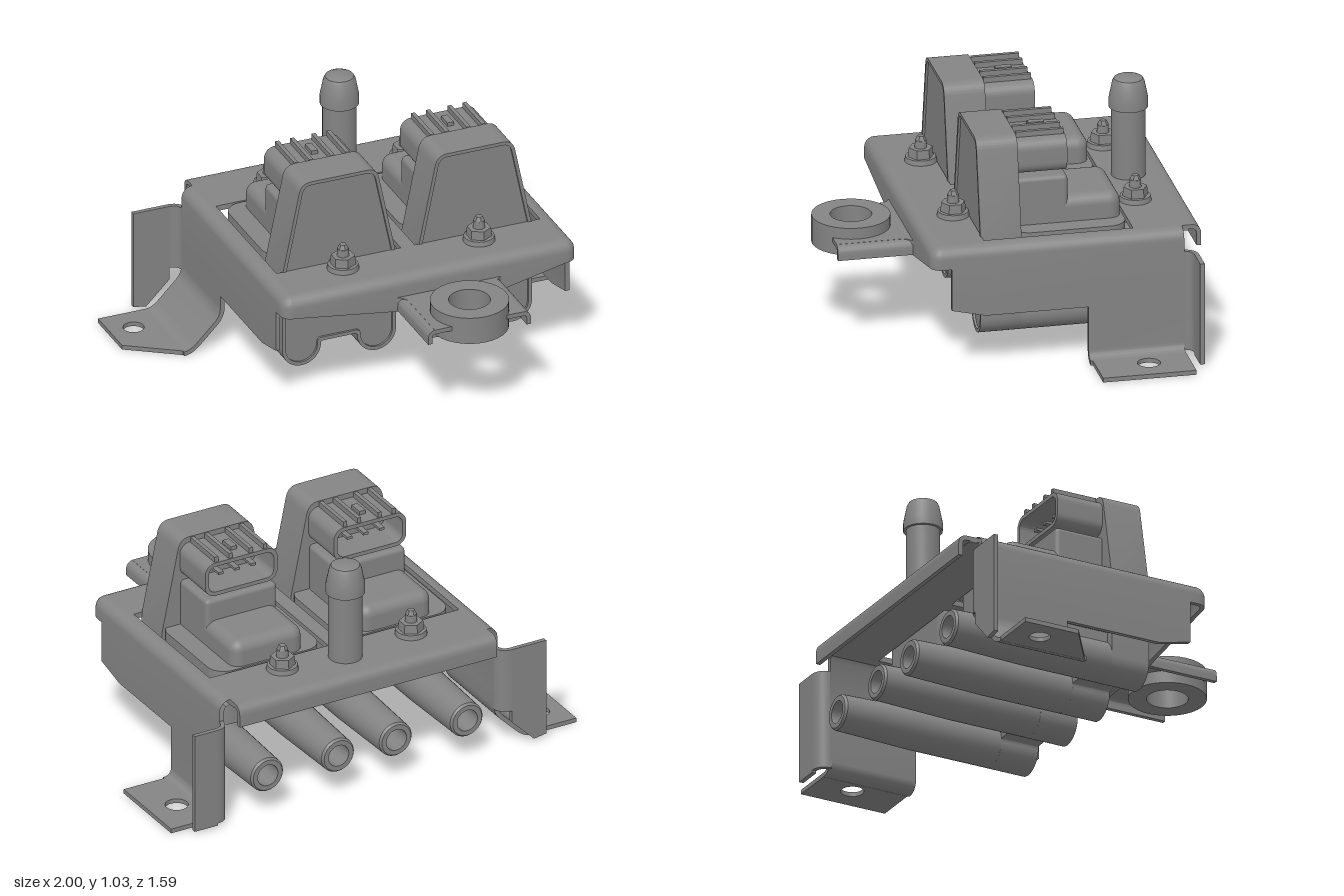
import * as THREE from 'three';
import { toCreasedNormals } from 'three/addons/utils/BufferGeometryUtils.js';
import { RoundedBoxGeometry } from 'three/addons/geometries/RoundedBoxGeometry.js';

const metal = new THREE.MeshStandardMaterial({ color: 0x848484, side: THREE.DoubleSide });

function add(parent, name, geo, x = 0, y = 0, z = 0) {
  const m = new THREE.Mesh(geo, metal);
  m.name = name;
  m.position.set(x, y, z);
  parent.add(m);
  return m;
}
const crease = (g) => toCreasedNormals(g, 0.6);
const extrude = (shape, depth) =>
  crease(new THREE.ExtrudeGeometry(shape, { depth, bevelEnabled: false, curveSegments: 16 }));
const poly = (pts) => new THREE.Shape(pts.map(([x, y]) => new THREE.Vector2(x, y)));
const circle = (x, y, r) => new THREE.Path().absarc(x, y, r, 0, Math.PI * 2, true);
// horizontal sheet: shape drawn as (x, -z), rising from the mesh's own y
const flat = (shape, t) => extrude(shape, t).rotateX(-Math.PI / 2);
const rect = (x0, x1, y0, y1) => poly([[x0, y0], [x1, y0], [x1, y1], [x0, y1]]);

// bent sheet metal: a path thickened to its left
function sheet(path, t, depth) {
  const p = path.getPoints(10);
  const off = p.map((a, i) => {
    const d = p[Math.min(i + 1, p.length - 1)].clone().sub(p[Math.max(i - 1, 0)]).normalize();
    return new THREE.Vector2(a.x - d.y * t, a.y + d.x * t);
  });
  return extrude(new THREE.Shape([...p, ...off.reverse()]), depth);
}

function roundRect(w, h, r, S = THREE.Shape) {
  const s = new S();
  s.absarc(w - r, h - r, r, 0, Math.PI / 2);
  s.absarc(r - w, h - r, r, Math.PI / 2, Math.PI);
  s.absarc(r - w, r - h, r, Math.PI, Math.PI * 1.5);
  s.absarc(w - r, r - h, r, Math.PI * 1.5, Math.PI * 2);
  s.closePath();
  return s;
}

// rolled edge and hanging flange round the two sides and the front of the plate
function skirt() {
  const x0 = -0.61, x1 = 0.76, r = 0.05, zf = 0.4;
  const line = []; // x, z, outward nx, nz, bottom height
  const side = [[-0.71, 0.255], [0.16, 0.255], [0.31, 0.29], [0.31, 0.48], [zf - r, 0.48]];
  side.forEach(([z, b]) => line.push([x0, z, -1, 0, b]));
  const corner = (cx, a0) => {
    for (let i = 1; i < 8; i++) {
      const a = a0 - (i / 8) * Math.PI / 2, c = Math.cos(a), s = Math.sin(a);
      line.push([cx + c * r, zf - r + s * r, c, s, 0.48]);
    }
  };
  corner(x0 + r, Math.PI);
  [[x0 + r, 0.48], [-0.08, 0.412], [0.4, 0.412], [x1 - r, 0.48]].forEach(([x, b]) => line.push([x, zf, 0, 1, b]));
  corner(x1 - r, Math.PI / 2);
  side.reverse().forEach(([z, b]) => line.push([x1, z, 1, 0, b]));
  const rows = [];
  for (let i = 0; i <= 6; i++) {
    const a = (i / 6) * Math.PI / 2;
    rows.push([r - r * Math.sin(a), 0.525 + r * Math.cos(a)]);
  }
  rows.push([0, null], [0.02, null], [0.02, 0.525], [0.03, 0.545], [0.05, 0.55]);
  const pos = [], idx = [], n = rows.length;
  line.forEach(([x, z, nx, nz, b], i) => rows.forEach(([inset, y], j) => {
    pos.push(x - nx * inset, y === null ? b : y, z - nz * inset);
    if (i && j) {
      const a = (i - 1) * n + j - 1, c = i * n + j - 1;
      idx.push(a, a + 1, c, c, a + 1, c + 1);
    }
  }));
  const g = new THREE.BufferGeometry();
  g.setAttribute('position', new THREE.Float32BufferAttribute(pos, 3));
  g.setIndex(idx);
  return crease(g);
}

// front outline of a coil: tapered top, two round lobes below; d insets it
function coilOutline(d, S = THREE.Shape) {
  const w = 0.265 - d, r = 0.09 - d, t = 0.99 - d, s = new S();
  s.moveTo(-w, 0.195);
  s.absarc(-0.175, 0.195, r, Math.PI, Math.PI * 2, false);
  s.quadraticCurveTo(-0.175 + r, 0.205 + d, -0.155 + r, 0.205 + d);
  s.lineTo(0.155 - r, 0.205 + d);
  s.quadraticCurveTo(0.175 - r, 0.205 + d, 0.175 - r, 0.195);
  s.absarc(0.175, 0.195, r, Math.PI, Math.PI * 2, false);
  s.lineTo(w, 0.56);
  s.lineTo(0.187 - d, 0.94);
  s.quadraticCurveTo(0.177 - d, t, 0.13, t);
  s.lineTo(-0.13, t);
  s.quadraticCurveTo(d - 0.177, t, d - 0.187, 0.94);
  s.lineTo(-w, 0.56);
  s.closePath();
  return s;
}

function coil(x) {
  const g = new THREE.Group();
  g.name = 'coil';
  g.position.x = x;
  add(g, 'coilFront', extrude(coilOutline(0), 0.17), 0, 0, -0.02);
  const rim = coilOutline(0);
  rim.holes.push(coilOutline(0.016, THREE.Path));
  add(g, 'coilRim', extrude(rim, 0.01), 0, 0, 0.15);
  add(g, 'coilBody', flat(roundRect(0.265, 0.25, 0.08), 0.26), 0, 0.315, -0.24);
  add(g, 'coilBlock', new RoundedBoxGeometry(0.35, 0.29, 0.24, 3, 0.02), 0, 0.645, -0.125);
  add(g, 'coilStep', new RoundedBoxGeometry(0.35, 0.2, 0.4, 4, 0.05), 0, 0.59, -0.28);

  // open connector with ribs and pins
  const shell = roundRect(0.178, 0.08, 0.05);
  shell.holes.push(roundRect(0.16, 0.062, 0.035, THREE.Path));
  add(g, 'connectorShell', extrude(shell, 0.22), 0, 0.885, -0.24);
  add(g, 'connectorFloor', extrude(roundRect(0.17, 0.07, 0.04), 0.06), 0, 0.885, -0.08);
  for (const rx of [-0.12, -0.05, 0.05, 0.12])
    add(g, 'connectorRib', new THREE.BoxGeometry(0.018, 0.035, 0.21), rx, 0.972, -0.13);
  add(g, 'connectorLatch', new THREE.BoxGeometry(0.03, 0.02, 0.07), 0, 0.972, -0.14);
  for (const px of [-0.08, 0, 0.08])
    add(g, 'connectorPin', new THREE.BoxGeometry(0.025, 0.012, 0.13), px, 0.885, -0.14);

  // hollow output towers running to the back
  const tower = [[0.05, -0.55], [0.05, -0.775], [0.072, -0.775], [0.08, -0.765], [0.09, -0.4], [0.09, 0]];
  for (const tx of [-0.175, 0.175]) {
    const geo = new THREE.LatheGeometry(tower.map(([r, z]) => new THREE.Vector2(r, z)), 28);
    add(g, 'outputTower', crease(geo.rotateX(Math.PI / 2)), tx, 0.195, 0);
    add(g, 'towerFloor', new THREE.CircleGeometry(0.05, 24).rotateY(Math.PI), tx, 0.195, -0.55);
    add(g, 'towerWeb', new THREE.BoxGeometry(0.1, 0.14, 0.36), tx, 0.29, -0.19);
  }
  return g;
}

function bolt(x, z) {
  const g = new THREE.Group();
  g.name = 'bolt';
  g.position.set(x, 0, z);
  const cyl = (name, r0, r1, y0, y1, n) =>
    add(g, name, crease(new THREE.CylinderGeometry(r1, r0, y1 - y0, n)), 0, (y0 + y1) / 2, 0);
  cyl('washer', 0.07, 0.066, 0.575, 0.597, 28);
  cyl('nut', 0.056, 0.052, 0.597, 0.637, 6);
  cyl('stud', 0.027, 0.025, 0.63, 0.67, 16);
  cyl('studTip', 0.025, 0.016, 0.67, 0.69, 6);
  if (z > 0) cyl('boltEnd', 0.04, 0.045, 0.38, 0.56, 20);
  return g;
}

function leg(s) {
  const g = new THREE.Group();
  const left = s > 0;
  g.name = left ? 'leftLeg' : 'rightLeg';
  const wall = left ? 0.76 : -0.61;
  const p = new THREE.Path().moveTo(wall, 0.3);
  if (left) p.lineTo(wall, 0.06).quadraticCurveTo(wall, 0.02, 0.8, 0.02);
  else p.lineTo(wall, 0.2).quadraticCurveTo(wall, 0.16, -0.637, 0.133).lineTo(-0.72, 0.05).quadraticCurveTo(-0.75, 0.02, -0.78, 0.02);
  add(g, 'legStrip', sheet(p, left ? -0.02 : 0.02, 0.42), 0, 0, -0.71);
  const foot = left ? rect(0.8, 1, 0.3, 0.71)
    : poly([[-0.78, 0.3], [-0.78, 0.71], [-1, 0.71], [-1, 0.45]]);
  foot.holes.push(left ? circle(0.87, 0.53, 0.05) : circle(-0.89, 0.58, 0.046));
  add(g, 'foot', flat(foot, 0.02));
  // stiffening wing turned outwards at the back
  const end = left ? 0.915 : -0.82;
  const bend = new THREE.Path().moveTo(wall, 0.7).quadraticCurveTo(wall, 0.745, wall + s * 0.045, 0.745);
  const h = left ? 0.455 : 0.3;
  add(g, 'wingBend', flat2(bend, s, h), 0, 0.475 - h, 0);
  const wing = left ? rect(0.8, end, 0.01, 0.475)
    : poly([[-0.65, 0.475], [end, 0.475], [end, 0.02], [-0.76, 0.01], [-0.65, 0.12]]);
  add(g, 'wing', extrude(wing, 0.02), 0, 0, -0.765);
  return g;
}
const flat2 = (path, s, h) => sheet(path, s * 0.02, h).rotateX(-Math.PI / 2);

export function createModel() {
  const g = new THREE.Group();
  g.name = 'ignitionBracket';

  // mounting plate with two windows, rolled edge and back lip
  const plate = rect(-0.56, 0.71, -0.35, 0.74);
  for (const [a, b] of [[-0.54, 0.04], [0.105, 0.69]])
    plate.holes.push(new THREE.Path(rect(a, b, -0.155, 0.5).getPoints().reverse()));
  add(g, 'plate', flat(plate, 0.025), 0, 0.55, 0);
  add(g, 'plateSkirt', skirt());
  const lip = new THREE.Path().moveTo(0.735, 0.575).lineTo(0.75, 0.575)
    .quadraticCurveTo(0.795, 0.575, 0.795, 0.53).lineTo(0.795, 0.478);
  add(g, 'backLip', sheet(lip, -0.02, 1.27).rotateY(Math.PI / 2), -0.56, 0, 0);

  // front tab with curled sides and a mounting ring
  const tab = new THREE.Shape().moveTo(-0.12, -0.39).quadraticCurveTo(-0.05, -0.4, -0.05, -0.45)
    .lineTo(-0.05, -0.73).lineTo(0.37, -0.73).lineTo(0.37, -0.45).quadraticCurveTo(0.37, -0.4, 0.44, -0.39);
  tab.holes.push(circle(0.16, -0.62, 0.1));
  add(g, 'frontTab', flat(tab, 0.02), 0, 0.46, 0);
  for (const s of [-1, 1]) {
    const curl = new THREE.Path().moveTo(0.16 + s * 0.2, 0.48)
      .quadraticCurveTo(0.16 + s * 0.24, 0.48, 0.16 + s * 0.24, 0.44).lineTo(0.16 + s * 0.24, 0.415);
    add(g, 'tabCurl', sheet(curl, -s * 0.02, 0.34), 0, 0, 0.39);
  }
  const ring = new THREE.Shape().absarc(0, 0, 0.17, 0, Math.PI * 2);
  ring.holes.push(circle(0, 0, 0.09));
  add(g, 'mountingRing', flat(ring, 0.125), 0.16, 0.405, 0.62);

  g.add(leg(-1), leg(1));
  for (const x of [-0.25, 0.385]) {
    g.add(coil(x));
    for (const z of [-0.58, 0.22]) g.add(bolt(x - 0.008, z));
  }

  // barbed vent pipe
  const pipe = [[0.074, 0.56], [0.074, 0.89], [0.085, 0.89], [0.085, 0.93], [0.07, 1.005], [0.062, 1.02], [0.045, 1.028], [0, 1.028]];
  add(g, 'ventPipe', crease(new THREE.LatheGeometry(pipe.map(([r, y]) => new THREE.Vector2(r, y)), 32)), 0.086, 0, -0.615);
  return g;
}
